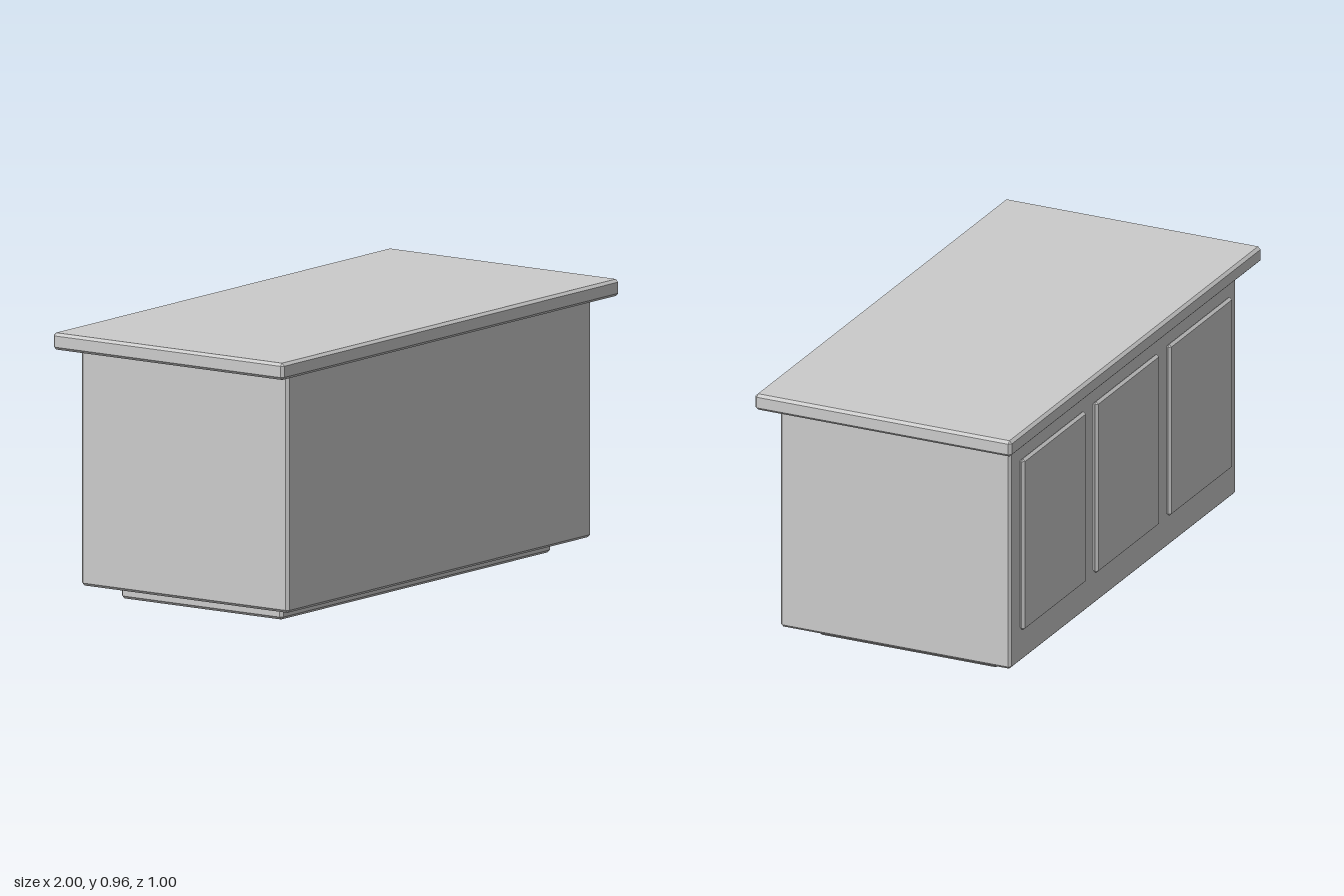
import * as THREE from 'three';
import { ConvexGeometry } from 'three/addons/geometries/ConvexGeometry.js';

const material = new THREE.MeshStandardMaterial({ color: 0xcccccc });

// Box with chamfered edges: each corner becomes three points, one per face
function chamferBox(name, w, h, d, bevel, x, y, z) {
  const half = [w / 2, h / 2, d / 2];
  const points = [];
  for (const sx of [-1, 1]) for (const sy of [-1, 1]) for (const sz of [-1, 1]) {
    for (let face = 0; face < 3; face++) {
      const [px, py, pz] = half.map((v, axis) => (axis === face ? v : v - bevel));
      points.push(new THREE.Vector3(sx * px, sy * py, sz * pz));
    }
  }
  const mesh = new THREE.Mesh(new ConvexGeometry(points), material);
  mesh.name = name;
  mesh.position.set(x, y, z);
  return mesh;
}

export function createModel() {
  const model = new THREE.Group();
  model.name = 'kitchenIsland';

  // Recessed plinth, its top sunk into the cabinet
  model.add(chamferBox('plinth', 1.6, 0.065, 0.7, 0.01, 0, 0.0325, 0));

  // Cabinet body
  model.add(chamferBox('cabinet', 1.8, 0.85, 0.9, 0.01, 0, 0.475, 0));

  // Overhanging worktop
  model.add(chamferBox('worktop', 2, 0.06, 1, 0.01, 0, 0.93, 0));

  // Three door panels on the back
  for (let i = -1; i <= 1; i++) {
    model.add(chamferBox(`doorPanel${i + 2}`, 0.5, 0.65, 0.02, 0.009, i * 0.583, 0.5, -0.46));
  }

  return model;
}
